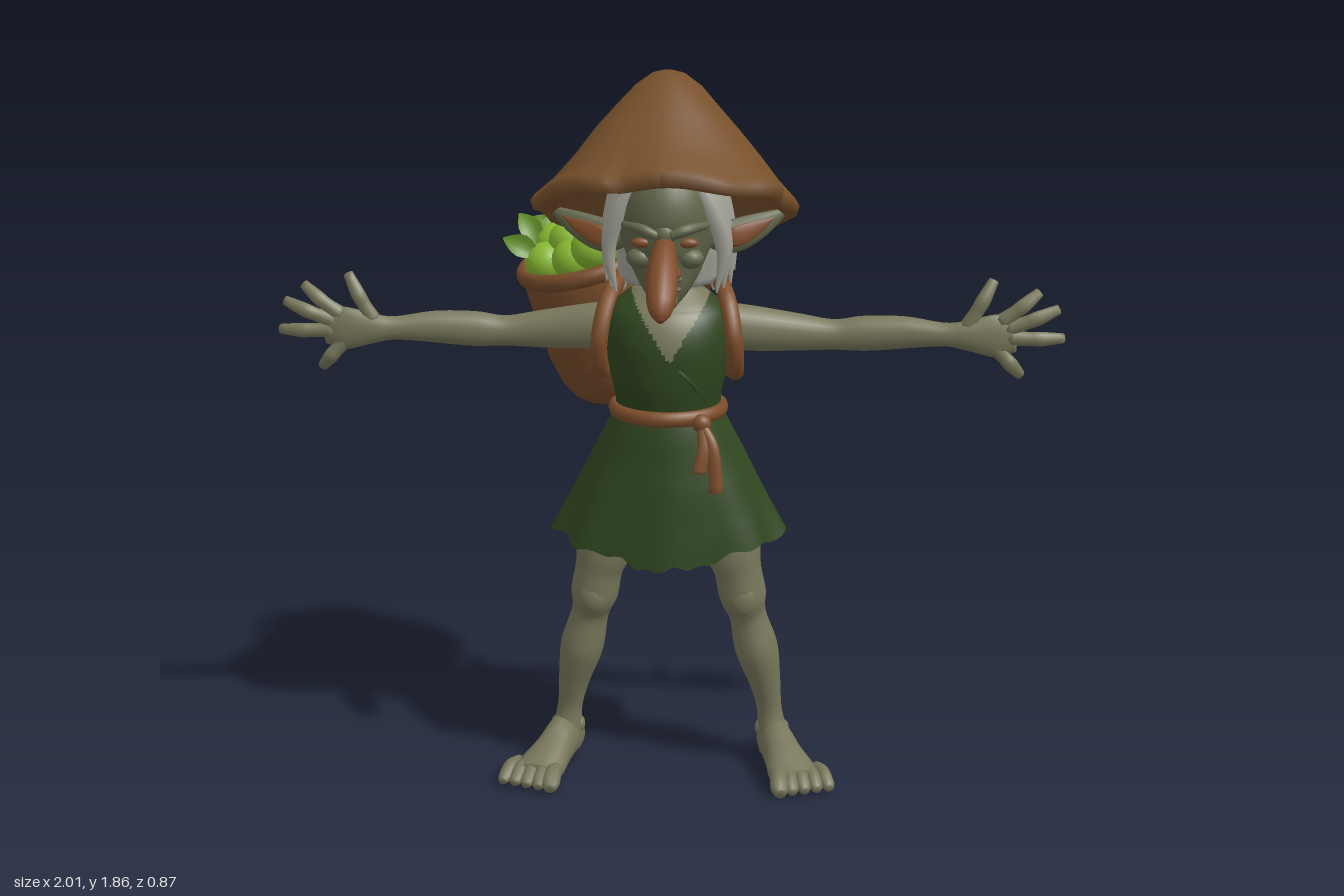
import * as THREE from 'three';

const mat = (name, color, double) => {
  const m = new THREE.MeshStandardMaterial({ color });
  m.name = name;
  if (double) m.side = THREE.DoubleSide;
  return m;
};

// Lofts elliptical rings [x, y, z, ra, rb] along a smooth path, capped at both ends.
function sweep(pts, { sides = 14, steps = 6, up = [0, 0, 1], mod = () => 1, open = false } = {}) {
  const spline = list => new THREE.CatmullRomCurve3(list, false, 'catmullrom', 0.5);
  const curve = spline(pts.map(p => new THREE.Vector3(p[0], p[1], p[2])));
  const radii = spline(pts.map(p => new THREE.Vector3(p[3], p[4], 0)));
  const n = (pts.length - 1) * steps, U = new THREE.Vector3(...up), pos = [], idx = [];
  for (let i = 0; i <= n; i++) {
    const t = i / n, c = curve.getPoint(t), T = curve.getTangent(t), r = radii.getPoint(t);
    const S = U.clone().cross(T).normalize(), B = T.clone().cross(S);
    for (let j = 0; j < sides; j++) {
      const a = j / sides * Math.PI * 2, m = mod(t, a);
      const p = c.clone().addScaledVector(S, Math.cos(a) * r.x * m).addScaledVector(B, Math.sin(a) * r.y * m);
      pos.push(p.x, p.y, p.z);
    }
  }
  for (let i = 0; i < n; i++) for (let j = 0; j < sides; j++) {
    const a = i * sides + j, b = i * sides + (j + 1) % sides;
    idx.push(a, b, b + sides, a, b + sides, a + sides);
  }
  if (!open) {
    const s = pos.length / 3, last = n * sides;
    pos.push(...pts[0].slice(0, 3), ...pts[pts.length - 1].slice(0, 3));
    for (let j = 0; j < sides; j++) {
      const q = (j + 1) % sides;
      idx.push(s, q, j, s + 1, last + j, last + q);
    }
  }
  const g = new THREE.BufferGeometry();
  g.setAttribute('position', new THREE.Float32BufferAttribute(pos, 3));
  g.setIndex(idx);
  g.computeVertexNormals();
  return g;
}

// Moves every vertex by a rule.
function warp(g, rule) {
  const p = g.attributes.position, v = new THREE.Vector3();
  for (let i = 0; i < p.count; i++) {
    rule(v.fromBufferAttribute(p, i));
    p.setXYZ(i, v.x, v.y, v.z);
  }
  g.computeVertexNormals();
  return g;
}

export function createModel() {
  const root = new THREE.Group();
  const skin = mat('skin', 0x78775b), faceSkin = mat('face skin', 0x62664a), cloth = mat('green cloth', 0x30461f, true);
  const straw = mat('straw hat', 0x77502b, true), wicker = mat('wicker', 0x774c2a, true), leather = mat('leather', 0x7e4e2b);
  const ruddy = mat('ruddy skin', 0x804c2a), white = mat('grey hair', 0xa8a89e), green = mat('apple green', 0x86b832);
  const leafMat = mat('leaf green', 0x62902a, true);
  const add = (name, geo, m, parent = root) => {
    const mesh = new THREE.Mesh(geo, m);
    mesh.name = name;
    parent.add(mesh);
    return mesh;
  };
  const ball = (name, m, x, y, z, rx, ry, rz) => {
    const b = add(name, new THREE.SphereGeometry(1, 16, 12), m);
    b.position.set(x, y, z);
    b.scale.set(rx, ry, rz);
  };
  const mirror = (s, pts) => pts.map(([x, ...r]) => [x * s, ...r]);
  const Y = [0, 1, 0];

  // Torso: the V neckline is a separate material group on the chest
  const torso = sweep([[0, 0.98, 0.065, 0.14, 0.132], [0, 1.04, 0.07, 0.135, 0.13], [0, 1.12, 0.08, 0.15, 0.138],
    [0, 1.2, 0.08, 0.162, 0.14], [0, 1.27, 0.07, 0.152, 0.115], [0, 1.325, 0.065, 0.09, 0.07]], { sides: 96, steps: 14 });
  const tp = torso.attributes.position, ti = torso.index.array, parts = [[], []];
  for (let i = 0; i < ti.length; i += 3) {
    const mid = a => (tp[a](ti[i]) + tp[a](ti[i + 1]) + tp[a](ti[i + 2])) / 3;
    const bare = mid('getZ') > 0.07 && mid('getY') > 1.158 + Math.abs(mid('getX') - 0.01) * 1.6;
    parts[bare ? 1 : 0].push(ti[i], ti[i + 1], ti[i + 2]);
  }
  torso.setIndex([...parts[0], ...parts[1]]);
  torso.addGroup(0, parts[0].length, 0);
  torso.addGroup(parts[0].length, parts[1].length, 1);
  add('tunicTop', torso, [cloth, skin]);
  add('wrapSeam', sweep([[0.01, 1.165, 0.214, 0.006, 0.006], [0.06, 1.11, 0.205, 0.006, 0.006], [0.1, 1.05, 0.16, 0.005, 0.005]], { sides: 6 }), cloth);

  // Skirt with folds and a ragged hem, lower at front and back
  const skirt = sweep([[0, 1.02, 0.067, 0.132, 0.128], [0, 0.95, 0.06, 0.165, 0.148], [0, 0.85, 0.047, 0.215, 0.172],
    [0, 0.75, 0.04, 0.262, 0.185], [0, 0.66, 0.038, 0.3, 0.193]],
  { sides: 96, open: true, mod: (t, a) => 1 + 0.03 * t * t * Math.sin(a * 9 + Math.sin(a * 2)) });
  add('skirt', warp(skirt, v => {
    const k = Math.min(1, Math.max(0, (1 - v.y) / 0.34)) ** 3, a = Math.atan2(v.x, v.z - 0.04), c = Math.cos(a);
    v.y += k * (0.018 - (c > 0 ? 0.055 : 0.1) * c * c + 0.012 * Math.sin(a * 13) * Math.sin(a * 5 + 1));
  }), cloth);

  // Belt with a knot and hanging ends
  const belt = add('belt', new THREE.TorusGeometry(0.138, 0.016, 8, 48), leather);
  belt.rotation.x = Math.PI / 2;
  belt.scale.z = 1.25;
  belt.position.set(0, 1.01, 0.067);
  ball('beltKnot', leather, 0.09, 1.0, 0.195, 0.025, 0.024, 0.022);
  for (const [x, y] of [[0.13, 0.83], [0.085, 0.88]])
    add('beltEnd', sweep([[0.09, 1, 0.2, 0.012, 0.009], [(x + 0.09) / 2 + 0.01, 0.94, 0.225, 0.016, 0.01], [x, y, 0.238, 0.018, 0.009]], { sides: 8 }), leather);

  // Neck and head
  add('neck', sweep([[0, 1.22, 0.07, 0.075, 0.065], [0, 1.3, 0.095, 0.055, 0.055], [0, 1.4, 0.12, 0.06, 0.06]]), skin);
  add('head', sweep([[0, 1.3, 0.195, 0.025, 0.028], [0, 1.34, 0.175, 0.058, 0.07], [0, 1.4, 0.145, 0.092, 0.112],
    [0, 1.47, 0.127, 0.118, 0.134], [0, 1.54, 0.122, 0.122, 0.145], [0, 1.62, 0.11, 0.1, 0.12], [0, 1.7, 0.1, 0.05, 0.06]], { sides: 28 }), faceSkin);
  add('nose', sweep([[0, 1.472, 0.235, 0.022, 0.026], [0, 1.442, 0.275, 0.032, 0.038], [0, 1.405, 0.33, 0.038, 0.04],
    [0, 1.36, 0.387, 0.036, 0.034], [0, 1.33, 0.414, 0.026, 0.023], [0, 1.312, 0.427, 0.008, 0.008]], { up: Y }), ruddy);
  ball('bridge', faceSkin, 0, 1.49, 0.245, 0.03, 0.032, 0.028);
  ball('chin', faceSkin, 0, 1.318, 0.215, 0.032, 0.026, 0.03);
  ball('lowerLip', faceSkin, 0, 1.352, 0.238, 0.042, 0.011, 0.02);
  ball('upperLip', faceSkin, 0, 1.378, 0.24, 0.045, 0.014, 0.02);

  for (const s of [1, -1]) {
    // Face details and ears
    ball('eye', ruddy, s * 0.057, 1.468, 0.239, 0.025, 0.013, 0.013);
    ball('cheek', faceSkin, s * 0.062, 1.425, 0.212, 0.034, 0.026, 0.03);
    ball('nostril', ruddy, s * 0.026, 1.403, 0.3, 0.017, 0.018, 0.026);
    add('brow', sweep(mirror(s, [[0.015, 1.488, 0.26, 0.012, 0.014], [0.055, 1.503, 0.253, 0.014, 0.015], [0.1, 1.507, 0.205, 0.009, 0.012]])), faceSkin);
    add('ear', sweep(mirror(s, [[0.1, 1.455, 0.11, 0.022, 0.016], [0.16, 1.458, 0.095, 0.042, 0.018], [0.23, 1.485, 0.08, 0.032, 0.013], [0.305, 1.525, 0.06, 0.004, 0.004]])), faceSkin);
    add('earHollow', sweep(mirror(s, [[0.135, 1.452, 0.11, 0.01, 0.006], [0.172, 1.46, 0.109, 0.025, 0.006], [0.225, 1.482, 0.092, 0.017, 0.005], [0.265, 1.503, 0.078, 0.003, 0.003]])), ruddy);

    // Locks hanging at the temples
    for (let i = 0; i < 6; i++)
      add('templeLock', sweep(mirror(s, [[0.06 + i * 0.01, 1.64, 0.205 - i * 0.028, 0.017, 0.012], [0.113 + i * 0.005, 1.54, 0.202 - i * 0.03, 0.02, 0.011],
        [0.141 + i * 0.003, 1.44, 0.182 - i * 0.029, 0.017, 0.009], [0.125 + i * 0.008, 1.33 + (i % 2) * 0.03, 0.165 - i * 0.028, 0.003, 0.003]]), { sides: 8 }), white);

    // Arm and palm
    add('arm', sweep(mirror(s, [[0.1, 1.225, 0.05, 0.06, 0.05], [0.2, 1.212, 0.04, 0.06, 0.048], [0.33, 1.2, 0.03, 0.049, 0.04], [0.42, 1.195, 0.03, 0.04, 0.034],
      [0.5, 1.2, 0.035, 0.046, 0.036], [0.6, 1.206, 0.045, 0.042, 0.032], [0.7, 1.205, 0.06, 0.031, 0.023], [0.76, 1.205, 0.068, 0.04, 0.022],
      [0.83, 1.205, 0.068, 0.056, 0.021], [0.88, 1.205, 0.064, 0.042, 0.014]])), skin);
    // Spread fingers: base x, y then tip x, y
    for (const [bx, by, x, y] of [[0.755, 1.225, 0.82, 1.345], [0.84, 1.24, 0.935, 1.315], [0.855, 1.222, 0.985, 1.272],
      [0.86, 1.2, 1.0, 1.197], [0.83, 1.175, 0.895, 1.1]]) {
      const at = (k, r, dz) => [bx + (x - bx) * k, by + (y - by) * k, 0.066 + dz, r, r * 0.85];
      add('finger', sweep(mirror(s, [at(0, 0.022, 0), at(0.35, 0.018, 0.004), at(0.6, 0.019, 0.003), at(1, 0.013, -0.014)]), { sides: 8, steps: 4 }), skin);
    }

    // Leg
    add('leg', sweep(mirror(s, [[0.13, 0.82, 0.05, 0.085, 0.09], [0.165, 0.64, 0.07, 0.075, 0.075], [0.182, 0.57, 0.07, 0.062, 0.066], [0.195, 0.5, 0.06, 0.062, 0.07],
      [0.208, 0.44, 0.045, 0.049, 0.058], [0.232, 0.34, 0.03, 0.057, 0.069], [0.255, 0.24, 0.018, 0.042, 0.049], [0.268, 0.16, 0.01, 0.033, 0.036],
      [0.276, 0.09, 0.002, 0.04, 0.05], [0.278, 0.035, -0.01, 0.038, 0.045]])), skin);
    ball('kneecap', skin, s * 0.195, 0.505, 0.108, 0.038, 0.05, 0.026);
    for (const d of [1, -1]) ball('ankleBone', skin, s * (0.275 + d * 0.032), 0.1, 0.002, 0.014, 0.022, 0.02);
    // Foot and toes
    add('foot', sweep(mirror(s, [[0.268, 0.04, -0.078, 0.022, 0.024], [0.273, 0.05, -0.05, 0.04, 0.046], [0.285, 0.07, 0.02, 0.044, 0.065], [0.307, 0.057, 0.09, 0.052, 0.052],
      [0.33, 0.042, 0.155, 0.065, 0.037], [0.342, 0.036, 0.195, 0.058, 0.025]]), { up: Y }), skin);
    for (let i = 0; i < 5; i++) {
      const r = i ? 0.018 : 0.023, x = 0.29 + i * 0.026, z = 0.185 - i * 0.011;
      add('toe', sweep(mirror(s, [[x, 0.038, z - 0.02, r, r], [x + 0.006 + i * 0.003, 0.044, z + 0.022, r, r],
        [x + 0.01 + i * 0.005, 0.027, z + 0.055, r * 1.05, r * 0.95], [x + 0.012 + i * 0.006, 0.02, z + 0.073, r * 0.6, r * 0.6]]), { sides: 8, steps: 4, up: Y }), skin);
    }

    // Shoulder strap loop reaching back to the basket
    const loop = [[0.13, 1.33, 0.03], [0.155, 1.285, 0.115], [0.17, 1.2, 0.148], [0.172, 1.125, 0.11], [0.165, 1.095, 0.02],
      [0.12, 1.11, -0.09], [0.06, 1.2, -0.135], [0.09, 1.31, -0.095]].map(p => new THREE.Vector3(p[0] * s, p[1], p[2]));
    add('shoulderStrap', new THREE.TubeGeometry(new THREE.CatmullRomCurve3(loop, true), 48, 0.023, 8, true), leather);
  }

  // Hair at the back, with strand ridges
  add('backHair', sweep([[0, 1.335, 0.04, 0.115, 0.062], [0, 1.43, 0.055, 0.13, 0.084], [0, 1.54, 0.07, 0.132, 0.102], [0, 1.64, 0.085, 0.1, 0.1], [0, 1.7, 0.09, 0.05, 0.05]],
    { sides: 64, mod: (t, a) => 1 + 0.02 * Math.sin(a * 17) }), white);
  for (let i = 0; i < 13; i++) {
    const a = Math.PI * (1 + i / 12), c = Math.cos(a), n = Math.sin(a);
    add('backLock', sweep([[c * 0.112, 1.45, 0.055 + n * 0.068, 0.022, 0.014], [c * 0.11, 1.375, 0.045 + n * 0.06, 0.02, 0.012],
      [c * 0.115, 1.31 + (i % 3) * 0.012, 0.04 + n * 0.062, 0.004, 0.004]], { sides: 8 }), white);
  }

  // Tilted conical hat with a frayed brim
  const profile = [[0, 0.1], [0.12, 0.11], [0.22, 0.04], [0.305, -0.03], [0.324, -0.03], [0.332, -0.006], [0.322, 0.01], [0.28, 0.05], [0.23, 0.108],
    [0.18, 0.17], [0.13, 0.228], [0.085, 0.278], [0.045, 0.308], [0.02, 0.316], [0, 0.317]].map(p => new THREE.Vector2(...p));
  const hat = add('hat', warp(new THREE.LatheGeometry(profile, 96), v => {
    const a = Math.atan2(v.x, v.z), r = Math.hypot(v.x, v.z), k = (r / 0.33) ** 6;
    const notch = Math.max(0, Math.sin(a * 9 + 1) * Math.sin(a * 4) - 0.75) * (Math.cos(a) > 0 ? 0.2 : 0.1);
    const f = 1 + k * (0.008 * Math.sin(a * 8) + 0.008 * Math.sin(a * 13 + 2) - notch) + 0.01 * Math.sin(a * 3 + v.y * 30);
    v.x *= f;
    v.z = v.z * f * 0.98 + 0.05 * Math.max(0, v.y) / 0.33;
    v.y += k * 0.008 * Math.sin(a * 7 + 1);
  }), straw);
  hat.position.set(0, 1.55, 0.12);
  hat.rotation.x = -0.36;

  // Leaning basket with a rounded base
  const basket = new THREE.Group();
  basket.name = 'basket';
  basket.position.set(-0.13, 0.96, -0.275);
  basket.rotation.set(0.12, 0, 0.25);
  root.add(basket);
  const wall = [[0, 0], [0.07, 0], [0.112, 0.012], [0.142, 0.04], [0.162, 0.085], [0.175, 0.15], [0.18, 0.22], [0.183, 0.3], [0.186, 0.4], [0.17, 0.4], [0.165, 0.3], [0, 0.29]];
  add('basketWall', warp(new THREE.LatheGeometry(wall.map(p => new THREE.Vector2(...p)), 48), v => {
    const f = 1 + 0.012 * Math.sin(Math.atan2(v.x, v.z) * 12 + v.y * 40);
    v.x *= f;
    v.z *= f;
  }), wicker, basket);
  const rim = add('basketRim', new THREE.TorusGeometry(0.182, 0.018, 10, 48), wicker, basket);
  rim.rotation.x = Math.PI / 2;
  rim.scale.z = 1.3;
  rim.position.y = 0.392;

  // Heaped apples, with leaves
  for (let i = 0; i < 13; i++) {
    const r = 0.135 * Math.sqrt((i + 0.2) / 13), a = i * 2.4;
    const apple = add('apple', new THREE.SphereGeometry(0.06, 18, 12), green, basket);
    apple.position.set(r * Math.cos(a), 0.45 - r * 0.3 + (i % 3) * 0.018, r * Math.sin(a));
    apple.scale.y = 0.94;
  }
  const leaf = warp(new THREE.PlaneGeometry(0.06, 0.11, 4, 6), v => {
    v.x *= Math.cos(v.y / 0.055 * 1.5);
    v.z = v.x * v.x * 12 - v.y * v.y * 6;
  });
  for (const [x, y, z, tilt, turn] of [[-0.155, 0.48, 0.06, -0.4, 0.9], [-0.13, 0.505, 0.0, -0.5, 0.4], [0.1, 0.5, -0.08, -1, 0.5], [-0.05, 0.525, -0.06, -1.3, 2], [-0.12, 0.495, -0.06, -1.2, 1.2]]) {
    const l = add('leaf', leaf, leafMat, basket);
    l.position.set(x, y, z);
    l.rotation.set(tilt, 0.2, turn);
  }
  return root;
}
